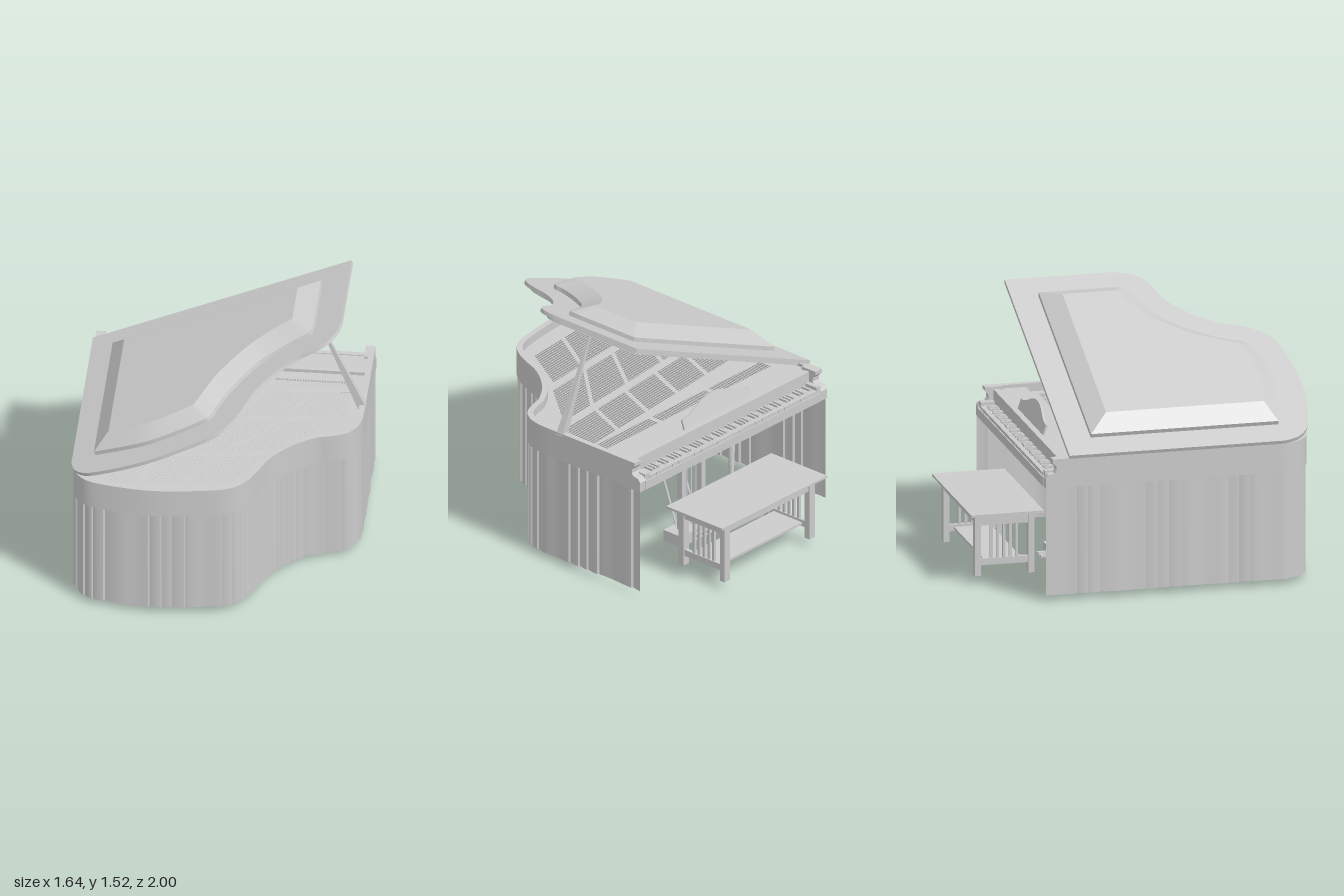
import * as THREE from 'three';
import { mergeGeometries, toCreasedNormals } from 'three/addons/utils/BufferGeometryUtils.js';

const grey = new THREE.MeshStandardMaterial({ color: 0xcccccc });
const thin = new THREE.MeshStandardMaterial({ color: 0xcccccc, side: THREE.DoubleSide });
const V = (x, z) => new THREE.Vector2(x, z);

// Plan curve (x, z): treble side, S-bend, tail, straight side
const CASE = [[.82, .08], [.815, .155], [.79, .235], [.735, .3], [.65, .337], [.56, .365], [.43, .46], [.32, .6], [.26, .74],
  [.21, .84], [.13, .92], [-.02, .965], [-.34, .996], [-.655, .95], [-.77, .88], [-.81, .78]];
// Raised lid panel: foot and top of its bevel, point for point
const PANEL_FOOT = [[.66, .08], [.652, .14], [.63, .178], [.465, .25], [.318, .345], [.177, .53], [.106, .665],
  [.08, .745], [0, .79], [-.32, .833], [-.663, .775]];
const PANEL_TOP = [[.55, .05], [.55, .08], [.53, .09], [.42, .14], [.267, .25], [.12, .425], [.05, .56],
  [0, .67], [-.04, .7], [-.29, .745], [-.55, .706]];

function add(parent, name, geometry, material = grey) {
  const mesh = new THREE.Mesh(geometry, material);
  mesh.name = name;
  parent.add(mesh);
  return mesh;
}

// Box given by its limits
function box(x0, x1, y0, y1, z0, z1) {
  return new THREE.BoxGeometry(x1 - x0, y1 - y0, z1 - z0).translate((x0 + x1) / 2, (y0 + y1) / 2, (z0 + z1) / 2);
}

// Open case curve starting and ending at the keyboard side, moved inward by inset(i)
function casePath(zBack, n, inset = () => 0) {
  const path = new THREE.Path().moveTo(.82, zBack).lineTo(.82, .08);
  path.splineThru(CASE.slice(1).map(p => V(...p))).lineTo(-.81, zBack);
  const pts = path.getSpacedPoints(n);
  return pts.map((p, i) => {
    const t = pts[Math.min(i + 1, n)].clone().sub(pts[Math.max(i - 1, 0)]).normalize();
    return V(p.x - t.y * inset(i), p.y + t.x * inset(i));
  });
}

// Horizontal slab from a plan outline
function slab(pts, y0, y1, holes = []) {
  const flip = list => list.map(p => V(p.x, -p.y));
  const shape = new THREE.Shape(flip(pts));
  shape.holes = holes.map(h => new THREE.Path(flip(h)));
  const g = new THREE.ExtrudeGeometry(shape, { depth: y1 - y0, bevelEnabled: false });
  return toCreasedNormals(g.rotateX(-Math.PI / 2).translate(0, y0, 0), .5);
}

// Walls joining plan outlines [points, y] with equal counts
function walls(rings, closed, crease) {
  const pos = [], n = rings[0][0].length;
  for (let r = 0; r + 1 < rings.length; r++) for (let i = 0; i < (closed ? n : n - 1); i++) {
    const at = (k, j) => [rings[k][0][j % n].x, rings[k][1], rings[k][0][j % n].y];
    const a = at(r, i), b = at(r, i + 1), c = at(r + 1, i + 1), d = at(r + 1, i);
    pos.push(...a, ...c, ...b, ...a, ...d, ...c);
  }
  const g = new THREE.BufferGeometry();
  g.setAttribute('position', new THREE.Float32BufferAttribute(pos, 3));
  return toCreasedNormals(g, crease);
}

// Tapered rod between two points
function rod(a, b, r0, r1, sides = 8) {
  const from = new THREE.Vector3(...a), dir = new THREE.Vector3(...b).sub(from);
  const len = dir.length();
  const g = new THREE.CylinderGeometry(r1, r0, len, sides, 1, false, Math.PI / sides).translate(0, len / 2, 0);
  g.applyQuaternion(new THREE.Quaternion().setFromUnitVectors(new THREE.Vector3(0, 1, 0), dir.normalize()));
  return toCreasedNormals(g.translate(...a), 1);
}

function buildCase(g) {
  const inner = casePath(-.5, 160, () => .035);
  add(g, 'rim', slab([...casePath(-.5, 160), ...inner.slice().reverse()], .68, .855));
  add(g, 'soundboard', slab(inner, .69, .71));

  // Cloth skirt with lapped folds, wide on the flat sides and denser along the bend
  const n = 600;
  const pleat = i => {
    const s = i / n, u = 34 * s + 5 * Math.tanh((s - .34) * 12) + .6 * Math.sin(s * 60);
    return .002 + .012 * (u - Math.floor(u)) ** 2 + .002 * (1 + Math.sin(i * .23));
  };
  const cloth = casePath(-.65, n, pleat);
  add(g, 'skirt', walls([[cloth, .033], [cloth, .68]], false, .45), thin);

  // Plate: a narrow front row of openings, then slanted rows between diagonal struts
  const holes = [];
  for (const [z0, z1, l0, r0, l1, r1, count, slant] of [[-.3, -.22, -.73, .74, -.73, .74, 3, 0], [-.13, .12, -.73, .73, -.73, .72, 5, .1],
    [.18, .47, -.73, .64, -.73, .38, 4, .1], [.53, .82, -.72, .3, -.62, .12, 3, .1]]) {
    for (let i = 0; i < count; i++) {
      const e = .016;
      const at = (l, r, k, z, side) => {
        const lean = k > 0 && k < count ? slant * (z === z1 ? -.5 : .5) : 0;
        const x = l + (r - l) * k / count + lean + side * e;
        return V(x, z - slant * x);
      };
      holes.push([at(l0, r0, i, z0, 1), at(l0, r0, i + 1, z0, -1), at(l1, r1, i + 1, z1, -1), at(l1, r1, i, z1, 1)]);
    }
  }
  add(g, 'plate', slab(casePath(-.5, 120, () => .034), .785, .805, holes));

  // Strings end at the case curve
  const strings = [];
  for (let x = -.75; x < .76; x += .016) {
    const near = inner.filter(p => Math.abs(p.x - x) < .02 && p.y > 0).map(p => p.y);
    const end = near.length ? Math.min(...near) - .02 : .1;
    strings.push(box(x - .003, x + .003, .772, .778, -.4, Math.max(end, .05)));
  }
  add(g, 'strings', mergeGeometries(strings));
}

function buildKeyboard(g) {
  // Scrolled cheeks at both ends
  const cheek = new THREE.Shape([[-.5, .68], [-.652, .68], [-.652, .74], [-.636, .762], [-.6, .768], [-.589, .785],
    [-.59, .81], [-.611, .833], [-.611, .855], [-.5, .855]].map(p => V(...p)));
  for (const [name, x] of [['rightCheek', -.755], ['leftCheek', .82]]) {
    const c = new THREE.ExtrudeGeometry(cheek, { depth: .055, bevelEnabled: false });
    add(g, name, c.rotateY(-Math.PI / 2).translate(x, 0, 0));
  }
  add(g, 'keybed', box(-.76, .77, .68, .735, -.655, -.42));
  add(g, 'fallboard', box(-.76, .77, .735, .84, -.56, -.53));
  add(g, 'musicShelf', box(-.775, .785, .815, .835, -.54, -.36));
  for (const [x0, x1] of [[-.76, -.725], [.73, .77]]) add(g, 'keyBlock', box(x0, x1, .735, .775, -.645, -.56));

  const white = [], black = [], w = 1.455 / 52;
  for (let i = 0; i < 52; i++) {
    const x = -.725 + i * w;
    white.push(box(x + .0005, x + w - .0005, .735, .755, -.648, -.56));
    if ([0, 2, 3, 5, 6].includes(i % 7) && i < 51) black.push(box(x + w - .007, x + w + .007, .755, .768, -.62, -.56));
  }
  add(g, 'whiteKeys', mergeGeometries(white));
  add(g, 'blackKeys', mergeGeometries(black));

  // Music desk with a bowed top edge, leaning back
  const desk = new THREE.Shape().moveTo(-.29, 0).lineTo(.29, 0).lineTo(.29, .061);
  desk.bezierCurveTo(.17, .061, .13, .132, 0, .132).bezierCurveTo(-.13, .132, -.17, .061, -.29, .061);
  const d = new THREE.ExtrudeGeometry(desk, { depth: .012, bevelEnabled: false, curveSegments: 16 });
  const m = add(g, 'musicDesk', toCreasedNormals(d, .5));
  m.position.set(.01, .852, -.535);
  m.rotation.x = .33;
}

function buildLid(g) {
  const lid = new THREE.Group();
  lid.name = 'lid';
  lid.position.set(-.82, .862, 0);
  lid.rotation.z = .404;
  const leaf = new THREE.Group();
  leaf.position.x = .82;
  lid.add(leaf);
  g.add(lid);
  add(leaf, 'lidBoard', slab(casePath(-.512, 160, () => -.006), -.012, .01));
  add(leaf, 'lidLining', slab(casePath(-.47, 160, () => .04), -.035, -.012));
  const outline = (list, back) => [V(list[10][0], back), V(list[0][0], back), ...new THREE.SplineCurve(list.map(p => V(...p))).getPoints(60)];
  const foot = outline(PANEL_FOOT, -.35), top = outline(PANEL_TOP, -.24);
  add(leaf, 'lidPanelBevel', walls([[foot, .009], [foot, .035], [top, .1]], true, .5), thin);
  add(leaf, 'lidPanelTop', slab(top, .09, .1));
  add(g, 'propStick', rod([.8, .83, -.024], [.545, 1.41, -.024], .034, .007, 4));
}

function buildSupports(g) {
  // Turned legs on casters
  const profile = [[0, .035], [.018, .04], [.022, .055], [.012, .07], [.013, .1], [.022, .11], [.015, .125], [.028, .52],
    [.024, .54], [.036, .56], [.036, .6], [.03, .69], [0, .69]].map(p => V(...p));
  for (const [x, z] of [[.48, -.18], [-.515, -.17], [-.34, .7]]) {
    add(g, 'leg', toCreasedNormals(new THREE.LatheGeometry(profile, 12), .6)).position.set(x, 0, z);
  }
  // Pedal lyre
  add(g, 'pedalBox', box(-.14, .19, 0, .07, -.41, -.27));
  add(g, 'lyreHead', box(-.09, .14, .62, .69, -.4, -.28));
  for (const x of [-.06, .11]) add(g, 'lyrePost', box(x - .018, x + .018, .07, .63, -.36, -.32));
  for (const x of [-.015, .025, .065]) {
    add(g, 'pedalRod', rod([x, .07, -.34], [x, .63, -.34], .005, .005));
    add(g, 'pedal', box(x - .012, x + .012, .035, .047, -.48, -.4));
  }
  for (const x of [-.06, .11]) add(g, 'lyreBrace', rod([x, .08, -.3], [x, .69, -.08], .007, .007));
}

function buildBench(g) {
  const bench = new THREE.Group();
  bench.name = 'bench';
  bench.position.set(.035, 0, -.782);
  g.add(bench);
  add(bench, 'benchSeat', box(-.458, .458, .423, .437, -.218, .218));
  add(bench, 'benchShelf', box(-.36, .36, .12, .135, -.11, .11));
  for (const s of [-1, 1]) {
    add(bench, 'benchLongRail', box(-.37, .37, .36, .423, s * .16 - .01, s * .16 + .01));
    add(bench, 'benchEndRail', box(s * .37 - .012, s * .37 + .012, .35, .423, -.16, .16));
    add(bench, 'benchLowerRail', box(s * .37 - .012, s * .37 + .012, .11, .15, -.16, .16));
    for (const t of [-1, 1]) add(bench, 'benchLeg', box(s * .37 - .024, s * .37 + .024, .05, .423, t * .16 - .018, t * .16 + .018));
    for (let i = -2; i <= 2; i++) add(bench, 'benchSlat', box(s * .37 - .008, s * .37 + .008, .15, .35, i * .038 - .008, i * .038 + .008));
  }
}

export function createModel() {
  const g = new THREE.Group();
  g.name = 'grandPianoWithBench';
  for (const build of [buildCase, buildKeyboard, buildLid, buildSupports, buildBench]) build(g);
  return g;
}
